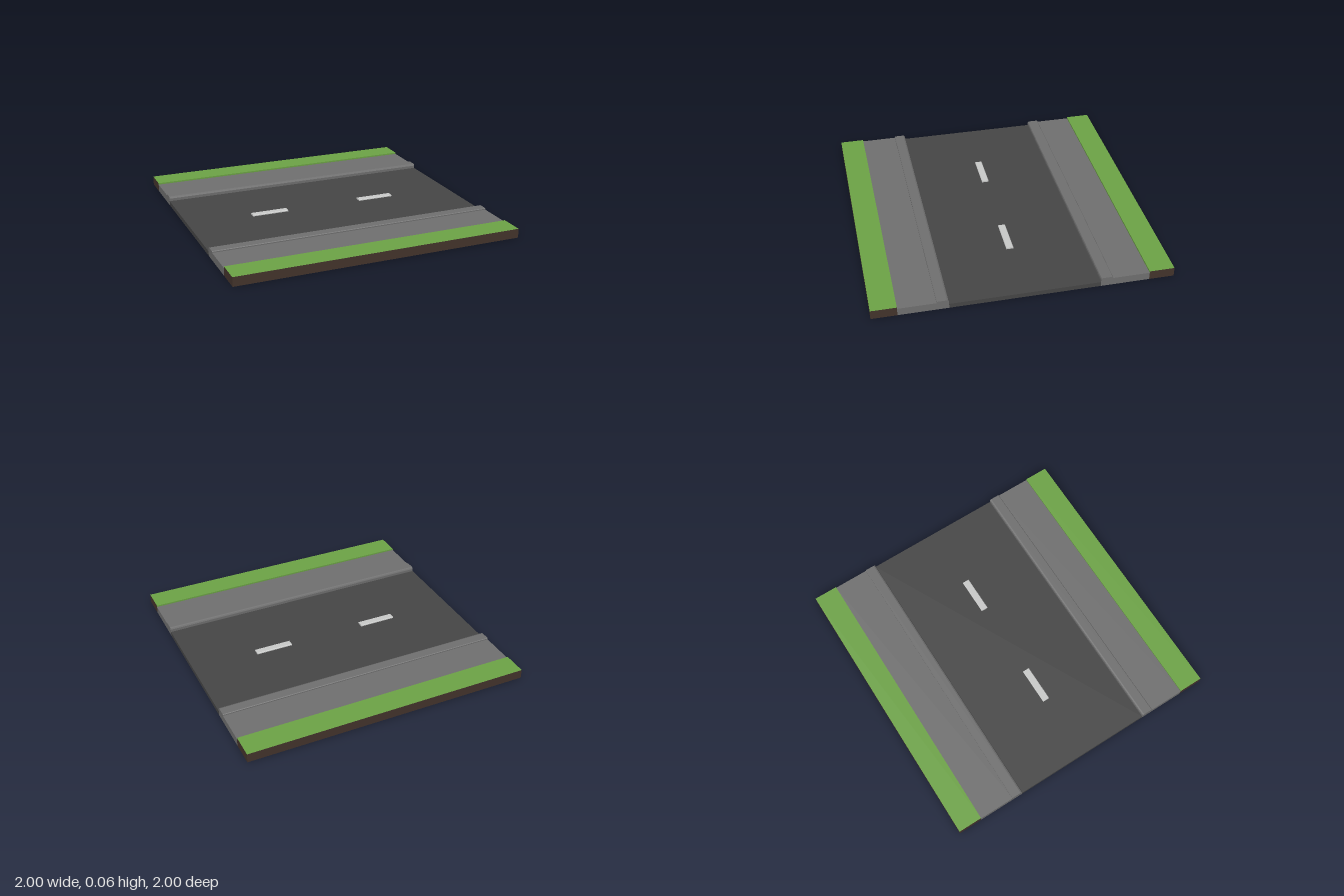
import * as THREE from 'three';

const mat = (name, color) => {
  const m = new THREE.MeshStandardMaterial({ color });
  m.name = name;
  return m;
};

export function createModel() {
  const asphalt = mat('asphalt', 0x464646);
  const concrete = mat('concrete', 0x707070);
  const grass = mat('grass', 0x6da446);
  const soil = mat('soil', 0x44342c);
  const paint = mat('road paint', 0xcacbca);

  const group = new THREE.Group();
  const add = (name, geometry, material, x = 0, y = 0, z = 0) => {
    const mesh = new THREE.Mesh(geometry, material);
    mesh.name = name;
    mesh.position.set(x, y, z);
    group.add(mesh);
  };

  // Extrude a [z, y] profile along x, centred on x = 0
  const sweep = (profile, length) => {
    const shape = new THREE.Shape(profile.map(([z, y]) => new THREE.Vector2(-z, y)));
    return new THREE.ExtrudeGeometry(shape, { depth: length, bevelEnabled: false })
      .translate(0, 0, -length / 2)
      .rotateY(Math.PI / 2);
  };

  // Road slab
  add('road', new THREE.BoxGeometry(2, 0.032, 1.0), asphalt, 0, 0.016, 0);

  // Centre line dashes with slightly bevelled long edges
  const dash = [[-0.025, 0], [0.025, 0], [0.025, 0.006], [0.021, 0.01], [-0.021, 0.01], [-0.025, 0.006]];
  for (const x of [-0.407, 0.407]) add('laneDash', sweep(dash, 0.262), paint, x, 0.032, 0);

  // Pavement with a raised, chamfered kerb beside the road
  const pavement = [
    [0.5, 0], [0.83, 0], [0.83, 0.053], [0.58, 0.053],
    [0.58, 0.06], [0.576, 0.064], [0.513, 0.064], [0.504, 0.06], [0.5, 0.051],
  ];
  for (const side of [1, -1]) {
    const label = side > 0 ? 'front' : 'back';
    add(label + 'Pavement', sweep(pavement.map(([z, y]) => [z * side, y]), 2), concrete);

    // Grass verge: soil outside, grass on top and inner lip, concrete below
    const faces = [soil, soil, grass, concrete, side > 0 ? soil : grass, side > 0 ? grass : soil];
    add(label + 'Verge', new THREE.BoxGeometry(2, 0.064, 0.17), faces, 0, 0.032, side * 0.915);
  }
  return group;
}
